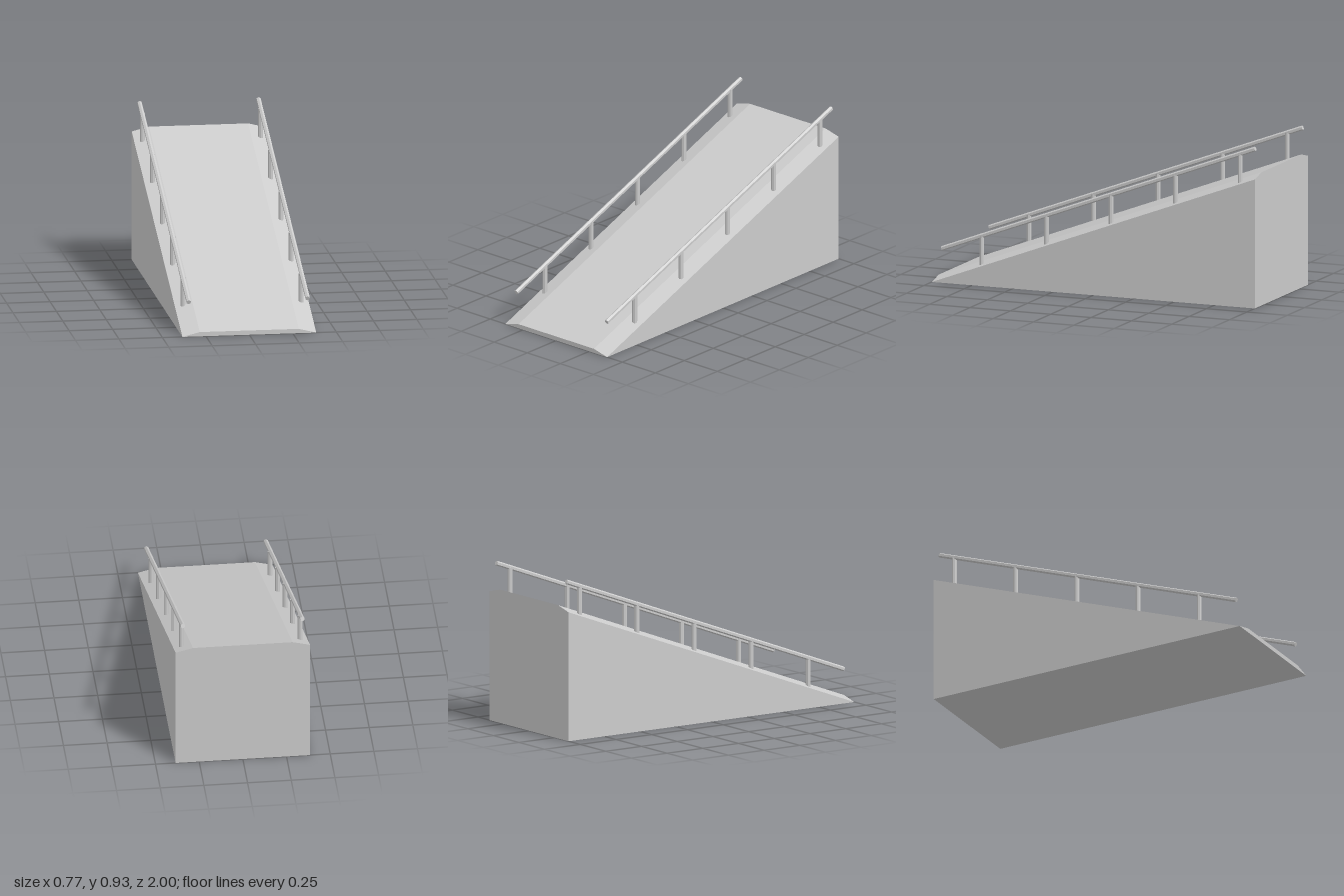
import * as THREE from 'three';

const SLOPE = 0.374; // rise per unit of run
const deckEdge = (z) => SLOPE * (1 - z); // height of the ramp's outer edge at z

export function createModel() {
  const group = new THREE.Group();
  const material = new THREE.MeshStandardMaterial({ color: 0xcccccc, flatShading: true });

  const add = (name, geometry, parent) => {
    const mesh = new THREE.Mesh(geometry, material);
    mesh.name = name;
    parent.add(mesh);
    return mesh;
  };

  // Ramp: a section with chamfered top edges, swept front to back and sheared up the slope
  const section = new THREE.Shape([
    [-0.385, 0], [0.385, 0], [0.385, 1], [0.285, 1.025], [-0.285, 1.025], [-0.385, 1],
  ].map(([x, y]) => new THREE.Vector2(x, y)));
  const ramp = new THREE.ExtrudeGeometry(section, { depth: 2, bevelEnabled: false });
  ramp.translate(0, 0, -1);
  const p = ramp.attributes.position;
  for (let i = 0; i < p.count; i++) {
    if (p.getY(i) > 0.5) p.setY(i, p.getY(i) - 1 + deckEdge(p.getZ(i)));
  }
  ramp.computeVertexNormals();
  add('ramp', ramp, group);

  // Handrails: a sloping hexagonal bar on five upright posts per side
  const railHeight = 0.174;
  const front = 0.955, back = -0.985;
  const run = front - back;
  for (const side of [-1, 1]) {
    const handrail = new THREE.Group();
    handrail.name = side > 0 ? 'leftHandrail' : 'rightHandrail';
    group.add(handrail);

    const bar = add('railBar', new THREE.CylinderGeometry(0.0135, 0.0135, run * Math.hypot(1, SLOPE), 6), handrail);
    const mid = (front + back) / 2;
    bar.position.set(side * 0.342, deckEdge(mid) + railHeight, mid);
    bar.rotation.x = -Math.PI / 2 + Math.atan(SLOPE);

    for (let i = 0; i < 5; i++) {
      const z = 0.71 - i * 0.4;
      const post = add('railPost', new THREE.CylinderGeometry(0.0145, 0.0145, railHeight, 8), handrail);
      post.position.set(side * 0.34, deckEdge(z) + railHeight / 2, z);
    }
  }
  return group;
}
